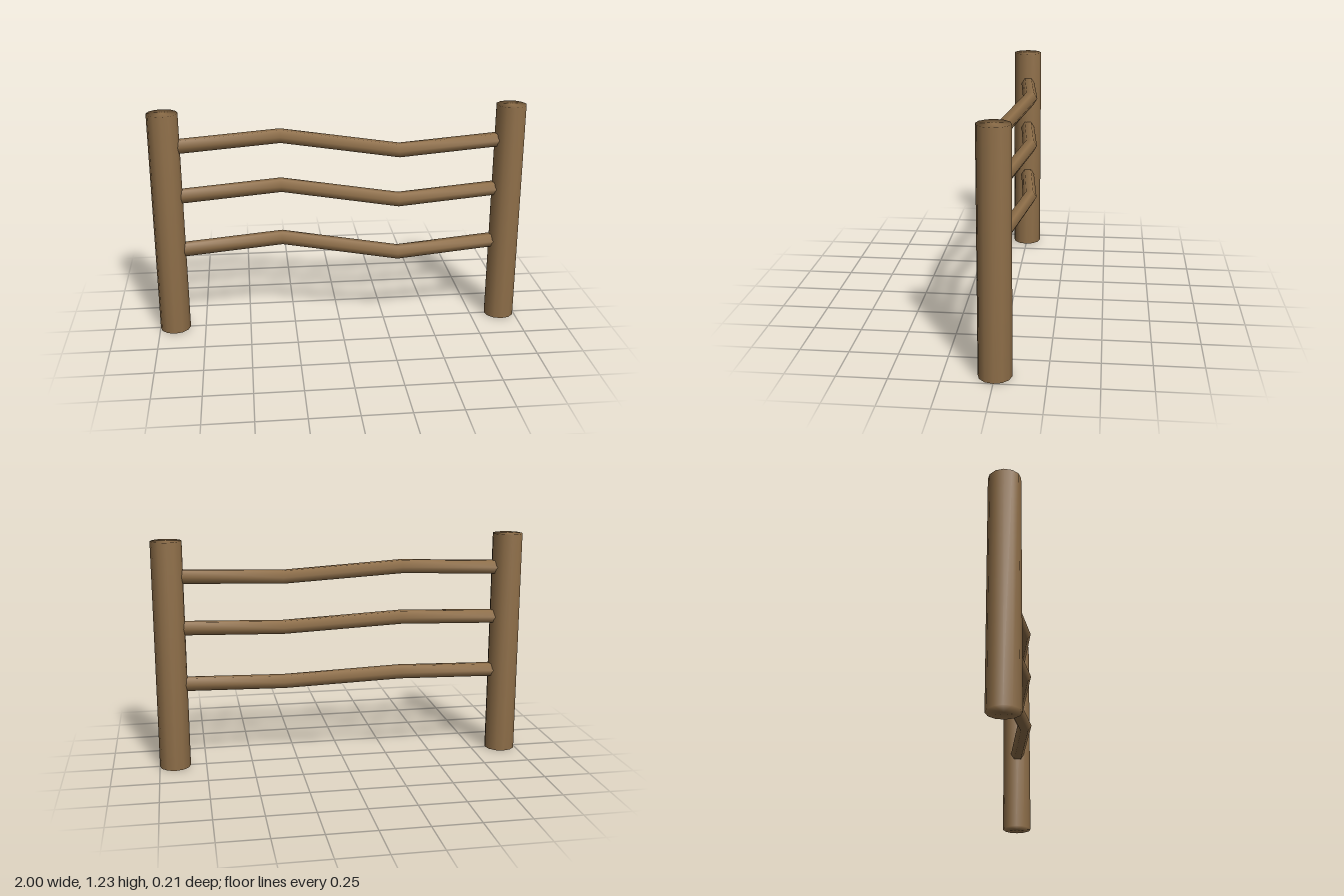
import * as THREE from 'three';
import { mergeVertices } from 'three/addons/utils/BufferGeometryUtils.js';

// Weld all corners so shading runs softly over every edge
function soften(geometry) {
  geometry.deleteAttribute('uv');
  geometry.deleteAttribute('normal');
  const welded = mergeVertices(geometry, 1e-4);
  welded.computeVertexNormals();
  return welded;
}

export function createModel() {
  const group = new THREE.Group();
  const wood = new THREE.MeshStandardMaterial({ color: 0x8f6f49 });
  wood.name = 'brownWood';

  const postX = 0.917, postHeight = 1.225;

  // Two slightly tapered round posts
  const postGeometry = soften(new THREE.CylinderGeometry(0.081, 0.083, postHeight, 12));
  for (const side of [-1, 1]) {
    const post = new THREE.Mesh(postGeometry, wood);
    post.name = side > 0 ? 'leftPost' : 'rightPost';
    post.position.set(side * postX, postHeight / 2, 0);
    group.add(post);
  }

  // One six-sided rail with two bends, running between the post centres
  const path = [[-postX, 0, 0], [-0.31, 0.03, -0.063], [0.31, -0.03, 0.063], [postX, 0, 0]];
  const rail = new THREE.CylinderGeometry(0.04, 0.04, 3, 6, 3).rotateZ(-Math.PI / 2);
  const p = rail.attributes.position;
  for (let i = 0; i < p.count; i++) {
    const [x, y, z] = path[Math.round(p.getX(i) + 1.5)];
    p.setXYZ(i, x, p.getY(i) + y, p.getZ(i) + z);
  }
  const railGeometry = soften(rail);

  // Three rails, bottom to top
  [['lowerRail', 0.46], ['middleRail', 0.765], ['upperRail', 1.04]].forEach(([name, y]) => {
    const mesh = new THREE.Mesh(railGeometry, wood);
    mesh.name = name;
    mesh.position.y = y;
    group.add(mesh);
  });

  return group;
}
